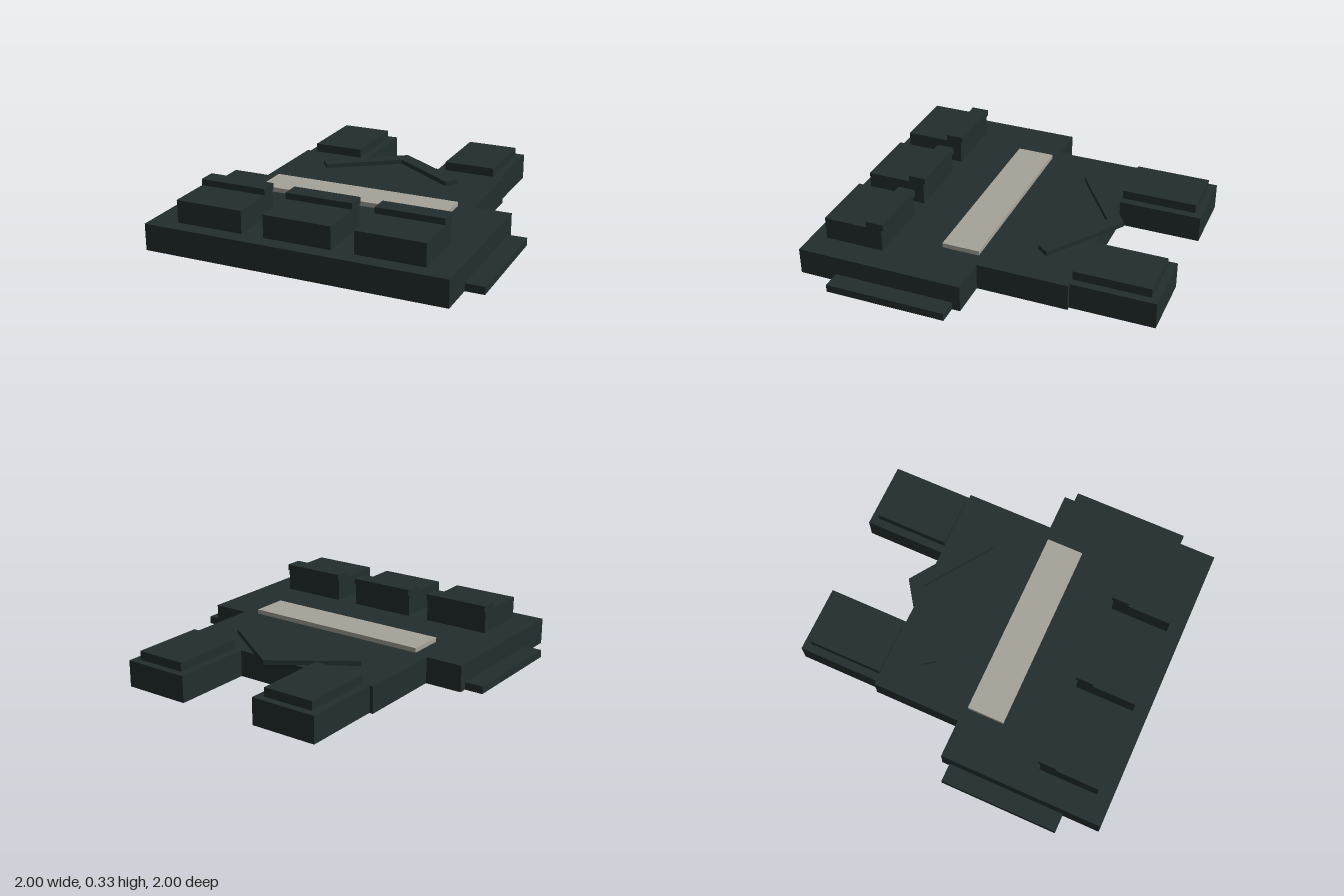
import * as THREE from 'three';

export function createModel() {
  const group = new THREE.Group();
  const fabric = new THREE.MeshStandardMaterial({ color: 0x232e2e });
  fabric.name = 'dark fabric';
  const patch = new THREE.MeshStandardMaterial({ color: 0xa5a399 });
  patch.name = 'pale patch';

  // Box given by its minimum and maximum on each axis
  function box(name, [x0, x1], [y0, y1], [z0, z1], material = fabric) {
    const mesh = new THREE.Mesh(new THREE.BoxGeometry(x1 - x0, y1 - y0, z1 - z0), material);
    mesh.position.set((x0 + x1) / 2, (y0 + y1) / 2, (z0 + z1) / 2);
    mesh.name = name;
    group.add(mesh);
  }

  const top = 0.157;

  // Vest panels
  box('waistPanel', [-0.89, 0.89], [0, top], [0.02, 1]);
  box('chestPanel', [-0.665, 0.665], [0, top], [-0.513, 0.02]);

  // Shoulder straps with pads, and thin side flaps
  for (const [side, s] of [['left', 1], ['right', -1]]) {
    const span = (a, b) => (s > 0 ? [a, b] : [-b, -a]);
    box(side + 'ShoulderStrap', span(0.243, 0.643), [0, top], [-1, -0.513]);
    box(side + 'ShoulderPad', span(0.29, 0.597), [top, 0.21], [-0.957, -0.513]);
    box(side + 'SideFlap', span(0.89, 1), [0, 0.045], [0.068, 0.777]);
  }

  // Pouches with raised lids
  for (const x of [-0.532, 0, 0.532]) {
    box('pouch', [x - 0.2, x + 0.2], [top, 0.29], [0.56, 0.912]);
    box('pouchLid', [x - 0.2, x + 0.2], [0.29, 0.327], [0.547, 0.653]);
  }

  // Pale strip across the chest
  box('chestStrip', [-0.577, 0.577], [top, 0.184], [0.043, 0.265], patch);

  // V-shaped collar trim, drawn in plan and raised
  const plan = [[0, 0.612], [-0.445, 0.307], [-0.395, 0.238], [0, 0.511], [0.395, 0.238], [0.445, 0.307]];
  const shape = new THREE.Shape(plan.map(([x, y]) => new THREE.Vector2(x, y)));
  const collarGeometry = new THREE.ExtrudeGeometry(shape, { depth: 0.184 - top, bevelEnabled: false });
  collarGeometry.rotateX(-Math.PI / 2);
  const collar = new THREE.Mesh(collarGeometry, fabric);
  collar.position.y = top;
  collar.name = 'collarTrim';
  group.add(collar);

  return group;
}
